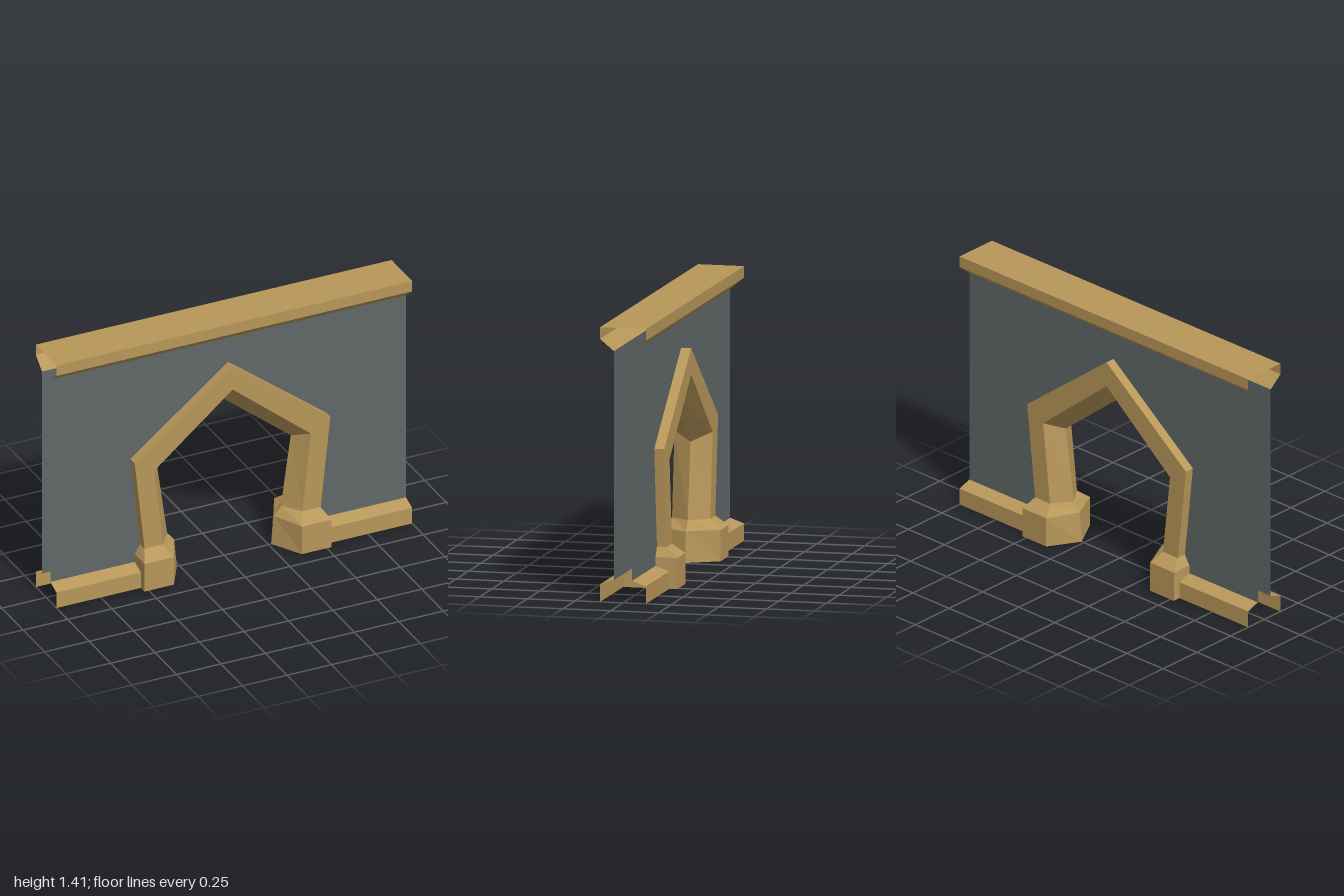
import * as THREE from 'three';

const stone = new THREE.MeshStandardMaterial({ color: 0xb8975a, flatShading: true, side: THREE.DoubleSide });
const plaster = new THREE.MeshStandardMaterial({ color: 0x5f6866, flatShading: true, side: THREE.DoubleSide });

// Joins successive cross-sections with flat quads
function loft(rings, closed) {
  const pos = [];
  for (let i = 0; i < rings.length - 1; i++) {
    const a = rings[i], b = rings[i + 1], n = a.length;
    for (let j = 0; j < (closed ? n : n - 1); j++) {
      const k = (j + 1) % n;
      pos.push(...a[j], ...b[j], ...b[k], ...a[j], ...b[k], ...a[k]);
    }
  }
  const g = new THREE.BufferGeometry();
  g.setAttribute('position', new THREE.Float32BufferAttribute(pos, 3));
  g.computeVertexNormals();
  return g;
}

// Five-sided section: flat outer face, two cheeks, ridge pointing into the opening
function section([ox, oy], [ex, ey], [rx, ry], d) {
  return [[ox, oy, d], [ex, ey, d], [rx, ry, 0], [ex, ey, -d], [ox, oy, -d]];
}
const mirror = ring => ring.map(([x, y, z]) => [-x, y, z]);

// Open moulding running along x, from a [z, y] profile
function moulding(profile, x0, x1) {
  return loft([x0, x1].map(x => profile.map(([z, y]) => [x, y, z])), false);
}

export function createModel() {
  const model = new THREE.Group();
  const add = (name, geometry, material, turn = 0) => {
    const mesh = new THREE.Mesh(geometry, material);
    mesh.name = name;
    mesh.rotation.y = turn;
    model.add(mesh);
  };

  // Pointed arch, right foot over the apex to left foot
  const foot = section([0.495, 0.21], [0.392, 0.21], [0.32, 0.21], 0.1);
  const shoulder = section([0.55, 0.72], [0.44, 0.65], [0.375, 0.605], 0.1);
  const apex = section([0, 1.15], [0, 1.015], [0, 0.91], 0.1);
  add('arch', loft([foot, shoulder, apex, mirror(shoulder), mirror(foot)], true), stone);

  // Plinths under the arch feet, open below
  const plinth = [
    section([0.525, 0], [0.36, 0], [0.265, 0], 0.162),
    section([0.525, 0.16], [0.36, 0.16], [0.28, 0.16], 0.162),
    foot,
  ];
  add('leftPlinth', loft(plinth, true), stone);
  add('rightPlinth', loft(plinth.map(mirror).reverse(), true), stone);

  // Two thin wall faces cut around the arch
  const outline = [
    [-1, 0.115], [-0.495, 0.115], [-0.495, 0.21], [-0.55, 0.72], [0, 1.15],
    [0.55, 0.72], [0.495, 0.21], [0.495, 0.115], [1, 0.115], [1, 1.29], [-1, 1.29],
  ];
  const wall = new THREE.ShapeGeometry(new THREE.Shape(outline.map(p => new THREE.Vector2(...p))));
  wall.translate(0, 0, 0.048);
  add('frontWall', wall, plaster);
  add('backWall', wall, plaster, Math.PI);

  // Coping along the top
  add('coping', moulding([[0.048, 1.29], [0.12, 1.35], [0.12, 1.41],
    [-0.12, 1.41], [-0.12, 1.35], [-0.048, 1.29]], -1, 1), stone);

  // Skirting on both faces, running into the plinths
  const skirt = [[0.12, 0], [0.12, 0.09], [0.048, 0.115]];
  for (const [side, turn] of [['front', 0], ['back', Math.PI]]) {
    add(side + 'SkirtingA', moulding(skirt, -1, -0.45), stone, turn);
    add(side + 'SkirtingB', moulding(skirt, 0.45, 1), stone, turn);
  }
  return model;
}
